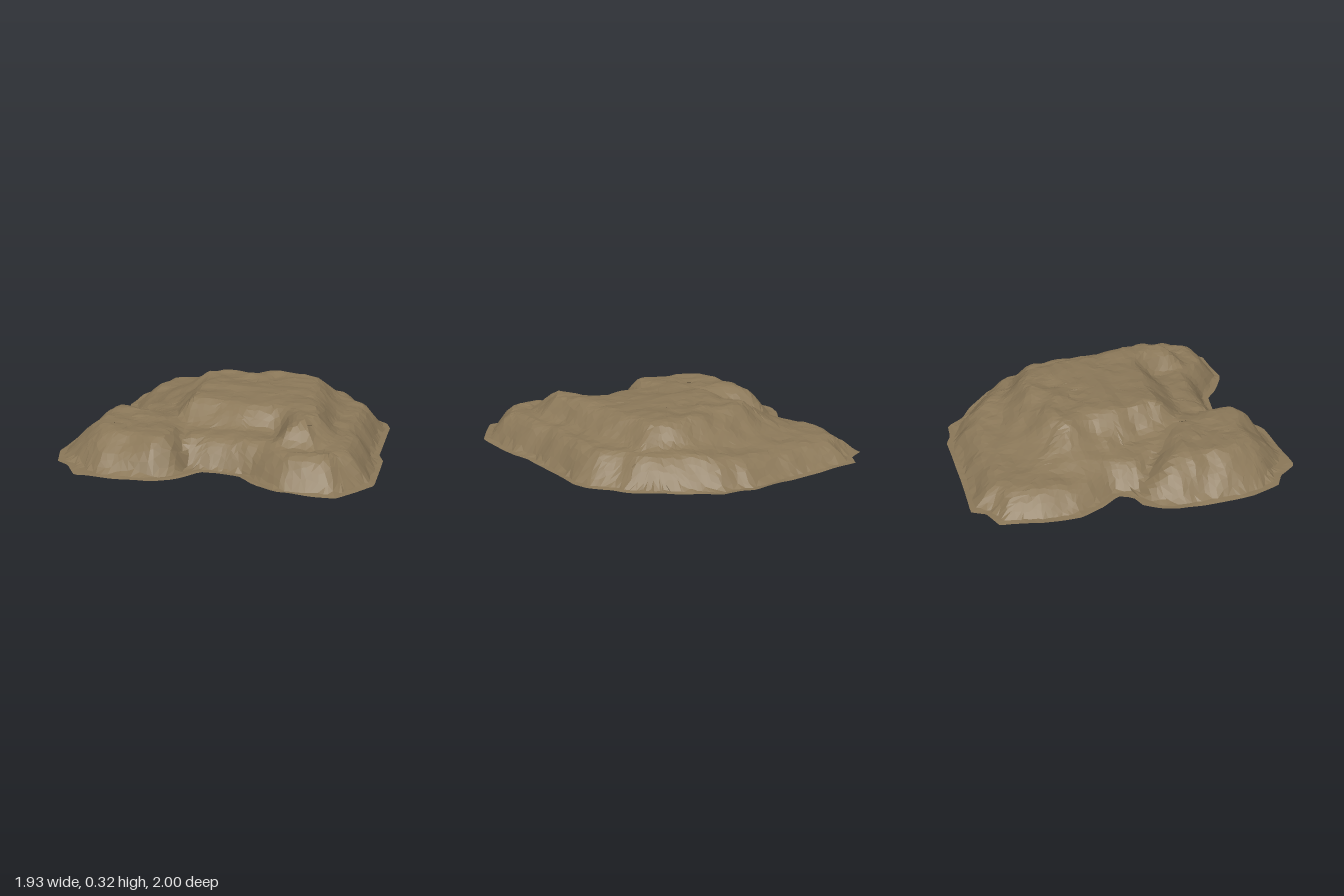
import * as THREE from 'three';

const { lerp, clamp, smoothstep } = THREE.MathUtils;

// Ground outline, as [x, z]
const OUTLINE = [
  [-0.64, -1], [-0.3, -0.99], [0.15, -0.995], [0.22, -0.96], [0.35, -0.95], [0.44, -0.84], [0.54, -0.78],
  [0.75, -0.6], [0.8, -0.5], [0.9, -0.4], [0.93, -0.3], [0.93, 0.24], [0.965, 0.34], [0.965, 0.75],
  [0.88, 0.88], [0.79, 1], [0.45, 1], [0.3, 0.9], [0.21, 0.81], [0.06, 0.78], [-0.04, 0.78],
  [-0.15, 0.93], [-0.27, 1], [-0.73, 1], [-0.82, 0.87], [-0.91, 0.81], [-0.97, 0.63], [-0.97, 0.15],
  [-0.93, 0.05], [-0.87, -0.03], [-0.78, -0.06], [-0.74, -0.14], [-0.82, -0.26], [-0.88, -0.4],
  [-0.87, -0.64], [-0.82, -0.8], [-0.81, -0.87], [-0.69, -0.92]
];
// Lower terrace of the main hill, running on under the mound
const TERRACE = [...OUTLINE.slice(0, 21), [-0.22, 0.8], [-0.5, 0.46], [-0.8, 0.03], ...OUTLINE.slice(31)];
// Separate mound at the front left corner
const MOUND = [
  [-0.13, 0.89], [-0.27, 0.98], [-0.64, 0.98], [-0.82, 0.85], [-0.91, 0.76], [-0.97, 0.6], [-0.97, 0.17],
  [-0.92, 0.04], [-0.8, -0.06], [-0.62, -0.03], [-0.38, 0.08], [-0.16, 0.28], [-0.08, 0.55], [-0.08, 0.8]
];
// Foot of the upper plateau
const PLATEAU = [
  [-0.42, 0.12], [-0.36, 0.4], [-0.15, 0.47], [0.3, 0.48], [0.36, 0.72], [0.64, 0.74], [0.76, 0.45],
  [0.7, 0.25], [0.66, -0.2], [0.56, -0.48], [0.3, -0.63], [-0.2, -0.72], [-0.55, -0.65], [-0.68, -0.3], [-0.5, -0.06]
];

// Signed distance to a polygon, positive inside
function inset(poly, x, z) {
  let best = Infinity, inside = false;
  poly.forEach(([ax, az], i) => {
    const [bx, bz] = poly[(i + 1) % poly.length];
    const ex = bx - ax, ez = bz - az;
    const t = clamp(((x - ax) * ex + (z - az) * ez) / (ex * ex + ez * ez), 0, 1);
    best = Math.min(best, Math.hypot(x - ax - t * ex, z - az - t * ez));
    if ((az > z) !== (bz > z) && x < ax + ((z - az) / ez) * ex) inside = !inside;
  });
  return inside ? best : -best;
}

// Distance from the origin to the outline along a direction
function reach(dx, dz) {
  let far = 0;
  OUTLINE.forEach(([ax, az], i) => {
    const [bx, bz] = OUTLINE[(i + 1) % OUTLINE.length];
    const ex = bx - ax, ez = bz - az, det = dx * ez - dz * ex;
    if (Math.abs(det) < 1e-9) return;
    const r = (ax * ez - az * ex) / det, s = (ax * dz - az * dx) / det;
    if (s >= -1e-6 && s <= 1 + 1e-6) far = Math.max(far, r);
  });
  return far;
}

// Seeded value noise in -1..1
function hash(i, j) {
  const s = Math.sin(i * 127.1 + j * 311.7 + 7.3) * 43758.5453;
  return (s - Math.floor(s)) * 2 - 1;
}
function noise(x, z) {
  const i = Math.floor(x), j = Math.floor(z);
  const u = smoothstep(x - i, 0, 1), v = smoothstep(z - j, 0, 1);
  return lerp(lerp(hash(i, j), hash(i + 1, j), u), lerp(hash(i, j + 1), hash(i + 1, j + 1), u), v);
}

// Rounded bank rising over a given width
const bank = (d, width) => Math.sin(clamp(d / width, 0, 1) * Math.PI / 2);

// Larger of two heights, with the crease between them filled
function blend(a, b) {
  const k = 0.05, t = Math.max(0, 1 - Math.abs(a - b) / k);
  return Math.max(a, b) + Math.min(0.25 * k * t * t, 0.3 * Math.min(a, b));
}

function heightAt(x, z) {
  const wobble = 0.02 * noise(x * 9 + 40, z * 9);
  // The back left corner is lower and slopes more gently
  const back = smoothstep(-(1.1 * x + z), 0, 1.2);
  const terrace = (0.165 - 0.05 * back) * bank(inset(TERRACE, x, z) - 0.045 + wobble * 0.6, 0.17);
  // The mound is steepest on its inner side
  const moundWidth = lerp(0.24, 0.15, smoothstep(x, -0.5, -0.25));
  const mound = 0.192 * bank(inset(MOUND, x, z) - 0.045 + wobble * 0.6, moundWidth);
  const rise = smoothstep(inset(PLATEAU, x, z) + wobble, 0, 0.2 + 0.36 * back);
  const h = blend(lerp(terrace, 0.294, rise), mound);
  const rough = 0.011 * noise(x * 6, z * 10) + 0.006 * noise(x * 17, z * 19);
  return 0.012 + h + rough * Math.min(1, h / 0.12);
}

// Square grid stretched to the outline, then raised
function buildTerrain() {
  const n = 56, positions = [], index = [];
  for (let j = 0; j <= n; j++) for (let i = 0; i <= n; i++) {
    const u = (2 * i) / n - 1, v = (2 * j) / n - 1;
    const ring = Math.max(Math.abs(u), Math.abs(v)), len = Math.hypot(u, v) || 1;
    const r = ring * reach(u / len, v / len);
    let x = (u / len) * r, z = (v / len) * r;
    const edge = ring > 0.999;
    if (ring < 0.98) {
      x += 0.01 * hash(i, j);
      z += 0.01 * hash(i + 90, j);
    }
    positions.push(x, edge ? 0.008 + 0.008 * noise(x * 6, z * 6) : heightAt(x, z), z);
  }
  for (let j = 0; j < n; j++) for (let i = 0; i < n; i++) {
    const a = j * (n + 1) + i, b = a + 1, c = a + n + 1, d = c + 1;
    // Split each cell along its flatter diagonal
    const drop = (p, q) => Math.abs(positions[p * 3 + 1] - positions[q * 3 + 1]);
    if (drop(b, c) < drop(a, d)) index.push(a, c, b, b, c, d);
    else index.push(a, c, d, a, d, b);
  }
  const geometry = new THREE.BufferGeometry();
  geometry.setAttribute('position', new THREE.Float32BufferAttribute(positions, 3));
  geometry.setIndex(index);
  const faceted = geometry.toNonIndexed();
  faceted.computeVertexNormals();
  return faceted;
}

export function createModel() {
  const earth = new THREE.MeshStandardMaterial({ color: 0x8b7859, flatShading: true, side: THREE.DoubleSide });
  earth.name = 'earth brown';
  const hill = new THREE.Mesh(buildTerrain(), earth);
  hill.name = 'terracedHill';
  const group = new THREE.Group();
  group.name = 'rockyHill';
  group.add(hill);
  return group;
}
